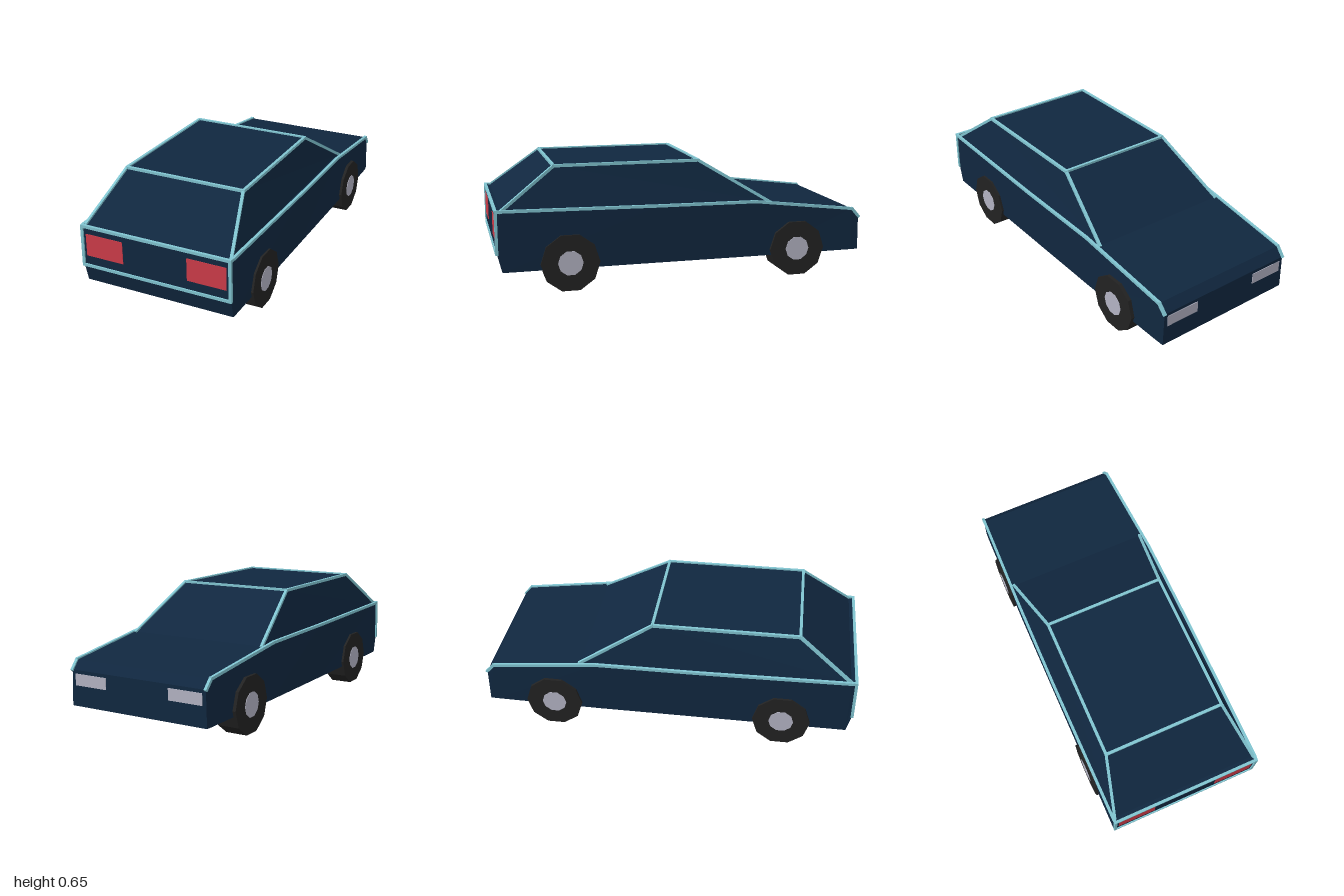
import * as THREE from 'three';

const material = (name, color) => new THREE.MeshStandardMaterial({ name, color });

// Lofts a closed skin through rings of points, capped at both ends, with flat faces.
function loft(rings) {
  const pos = [];
  const quad = (a, b, c, d) => [a, b, c, a, c, d].forEach((p) => pos.push(...p));
  rings.slice(1).forEach((next, r) => {
    const ring = rings[r];
    ring.forEach((p, i) => {
      const j = (i + 1) % ring.length;
      quad(p, next[i], next[j], ring[j]);
    });
  });
  quad(...rings[0]);
  quad(...[...rings[rings.length - 1]].reverse());
  const g = new THREE.BufferGeometry();
  g.setAttribute('position', new THREE.Float32BufferAttribute(pos, 3));
  g.computeVertexNormals();
  return g;
}

export function createModel() {
  const car = new THREE.Group();
  car.name = 'car';
  const paint = material('navyPaint', 0x10273f);
  const trim = material('paleBlueTrim', 0x80c4d0);
  const rubber = material('tyreRubber', 0x222222);
  const silver = material('silver', 0xb2b2c2);
  const red = material('tailLightRed', 0xcc3b48);

  const add = (name, geometry, mat, x = 0, y = 0, z = 0, parent = car) => {
    const mesh = new THREE.Mesh(geometry, mat);
    mesh.name = name;
    mesh.position.set(x, y, z);
    parent.add(mesh);
    return mesh;
  };

  // Lower body stations: z, sill height, sill half width, belt height, belt half width
  const stations = [
    [0.99, 0.215, 0.41, 0.43, 0.407],
    [0.965, 0.115, 0.41, 0.43, 0.41],
    [0.16, 0.115, 0.41, 0.42, 0.415],
    [-0.38, 0.115, 0.41, 0.415, 0.412],
    [-0.95, 0.115, 0.402, 0.345, 0.397],
    [-0.99, 0.115, 0.4, 0.3, 0.395],
  ];
  add('body', loft(stations.map(([z, yb, wb, yt, wt]) =>
    [[wb, yb, z], [wt, yt, z], [-wt, yt, z], [-wb, yb, z]])), paint);

  // Cabin: tapered from roof down to belt line
  const rect = (rear, front) => {
    const flip = ([x, y, z]) => [-x, y, z];
    return [rear, front, flip(front), flip(rear)];
  };
  const roofRear = [0.326, 0.638, 0.685], roofFront = [0.326, 0.638, -0.083];
  const beltRear = [0.402, 0.425, 0.97], beltFront = [0.392, 0.406, -0.47];
  add('cabin', loft([rect(roofRear, roofFront), rect(beltRear, beltFront)]), paint);

  // Thin square trim bars laid along the edges
  const T = 0.015;
  const trims = new THREE.Group();
  trims.name = 'trim';
  car.add(trims);
  const bar = (name, a, b) => {
    const from = new THREE.Vector3(...a), to = new THREE.Vector3(...b);
    const mesh = add(name, new THREE.BoxGeometry(T, T, from.distanceTo(to) + T * 0.8), trim, 0, 0, 0, trims);
    mesh.position.lerpVectors(from, to, 0.5);
    mesh.lookAt(to);
  };
  for (const s of [1, -1]) {
    const side = ([x, y, z]) => [s * x, y, z];
    const belt = stations.map(([z, , , y, x]) => side([x, y, z]));
    belt.slice(1).forEach((p, i) => bar('beltTrim', belt[i], p));
    bar('roofSideTrim', side(roofRear), side(roofFront));
    bar('windshieldPillar', side(roofFront), side(beltFront));
    bar('rearPillar', side(roofRear), side(beltRear));
    bar('rearCornerTrim', side([0.409, 0.215, 0.99]), side([0.407, 0.43, 0.99]));
  }
  const cross = (name, [x, y, z]) => bar(name, [-x, y, z], [x, y, z]);
  cross('roofRearTrim', roofRear);
  cross('roofFrontTrim', roofFront);
  cross('tailTopTrim', [0.407, 0.43, 0.99]);
  cross('tailBottomTrim', [0.409, 0.215, 0.99]);

  // Lights and wheels
  const tyre = new THREE.CylinderGeometry(0.154, 0.154, 0.117, 10).toNonIndexed();
  tyre.computeVertexNormals();
  const cap = new THREE.CylinderGeometry(0.066, 0.066, 0.006, 10);
  for (const s of [1, -1]) {
    add('tailLight', new THREE.BoxGeometry(0.21, 0.12, 0.006), red, s * 0.283, 0.33, 0.99);
    add('headlight', new THREE.BoxGeometry(0.19, 0.06, 0.006), silver, s * 0.28, 0.252, -0.99);
    for (const z of [0.62, -0.62]) {
      const wheel = new THREE.Group();
      wheel.name = 'wheel';
      wheel.position.set(s * 0.364, 0.1465, z);
      wheel.rotation.z = -s * Math.PI / 2;
      car.add(wheel);
      add('tyre', tyre, rubber, 0, 0, 0, wheel);
      add('hubcap', cap, silver, 0, 0.058, 0, wheel);
    }
  }
  return car;
}
